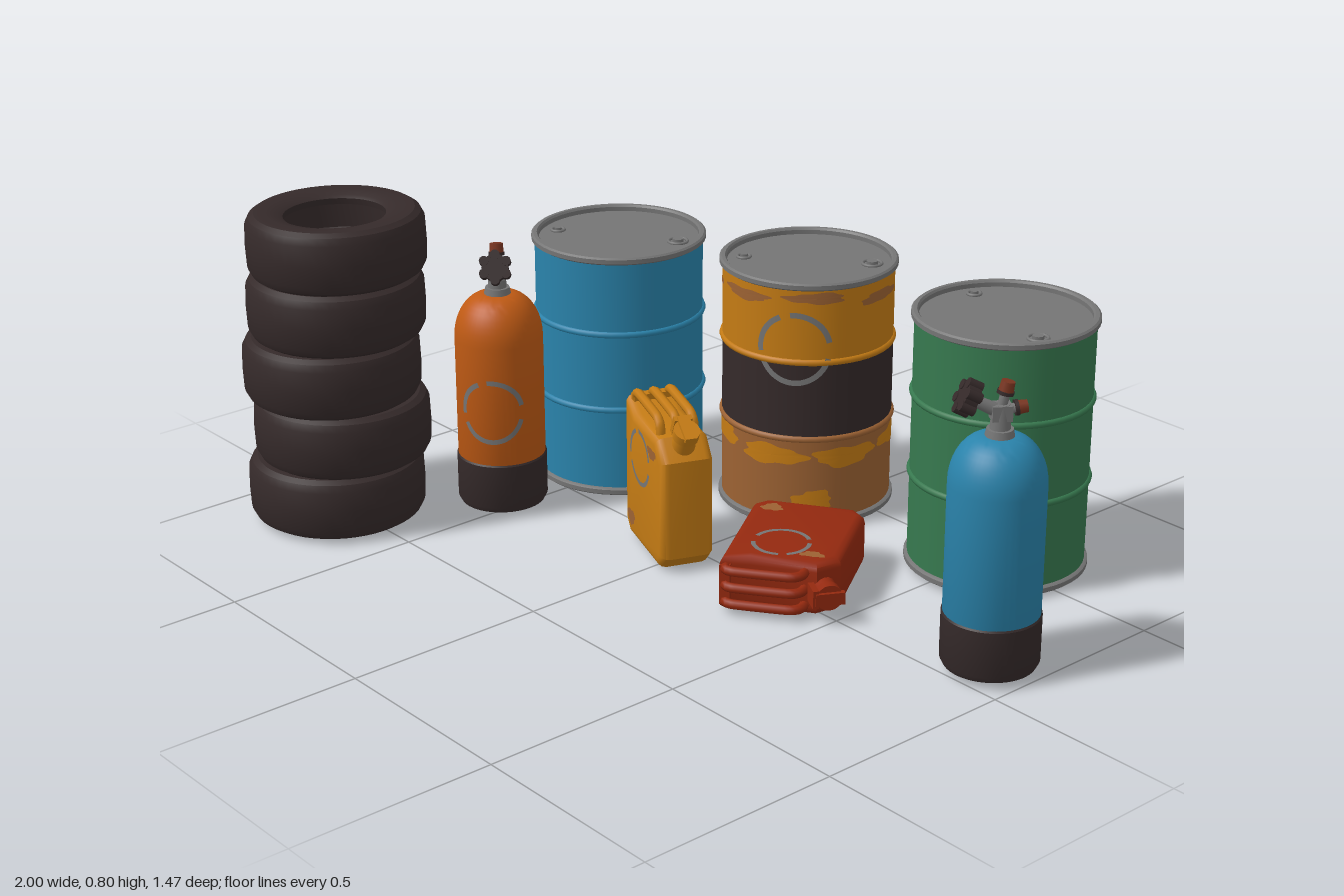
import * as THREE from 'three';
import { toCreasedNormals } from 'three/addons/utils/BufferGeometryUtils.js';

const mat = (name, color) => Object.assign(new THREE.MeshStandardMaterial({ color }), { name });
const M = {
  blue: mat('blue paint', 0x2a83ab), green: mat('green paint', 0x37794f),
  yellow: mat('yellow paint', 0xc47b14), orange: mat('orange paint', 0xbf5a14),
  red: mat('red paint', 0x94290f), dark: mat('black rubber', 0x352a2a),
  grey: mat('bare metal', 0x757575), rust: mat('rust', 0x9c6233), cap: mat('cap brown', 0x7a3520),
};

function add(parent, name, geo, material, x = 0, y = 0, z = 0) {
  const m = new THREE.Mesh(geo, material);
  m.name = name;
  m.position.set(x, y, z);
  parent.add(m);
  return m;
}
function group(parent, name, x = 0, y = 0, z = 0, turn = 0) {
  const g = new THREE.Group();
  g.name = name;
  g.position.set(x, y, z);
  g.rotation.y = turn;
  parent.add(g);
  return g;
}
const lathe = (pts, crease = 0.6) =>
  toCreasedNormals(new THREE.LatheGeometry(pts.map(p => new THREE.Vector2(...p)), 48), crease);
const cyl = (r1, r2, h, n = 16) => new THREE.CylinderGeometry(r1, r2, h, n);

// Horizontal ring, for rims and ribs
function hoop(parent, name, r, tube, material, y) {
  add(parent, name, new THREE.TorusGeometry(r, tube, 8, 48), material, 0, y, 0).rotation.x = Math.PI / 2;
}

// Thin marking: a broken ring or uneven patch, optionally bent round a cylinder
function marking(parent, name, material, { R = 0, az = 0, x = 0, y, z = 0, rx, ry = rx, inner = 0, start = 0, arc = Math.PI * 2, wobble = 0 }) {
  const g = new THREE.RingGeometry(inner, 1, 36, 6, start, arc);
  const p = g.attributes.position;
  for (let i = 0; i < p.count; i++) {
    const a = Math.atan2(p.getY(i), p.getX(i));
    const k = 1 + wobble * (Math.sin(3 * a + x + az * 5) + 0.6 * Math.sin(7 * a + y * 9));
    const u = p.getX(i) * rx * k, v = p.getY(i) * ry * k;
    if (R) p.setXYZ(i, R * Math.sin(az + u / R), y + v, R * Math.cos(az + u / R));
    else p.setXYZ(i, x + u, y + v, z);
  }
  g.computeVertexNormals();
  return add(parent, name, g, material);
}
function brokenRing(parent, options) {
  [[0.2, 1.5], [2.0, 1.3], [3.6, 2.4]].forEach(([start, arc]) =>
    marking(parent, 'wornRing', M.grey, { inner: 0.85, ...options, start, arc }));
}

// Steel drum: three bands, ribs, rims, recessed lid with two bungs
function drum(parent, name, x, z, bands, bungAngle) {
  const g = group(parent, name, x, 0, z);
  const levels = [0.025, 0.252, 0.455, 0.655];
  bands.forEach((material, i) => {
    const h = levels[i + 1] - levels[i];
    add(g, 'drumBand', new THREE.CylinderGeometry(0.214, 0.214, h, 48, 1, true), material, 0, levels[i] + h / 2, 0);
  });
  hoop(g, 'rib', 0.212, 0.009, bands[0], levels[1]);
  hoop(g, 'rib', 0.212, 0.009, bands[2], levels[2]);
  const rim = [[0.2, 0.64], [0.214, 0.64], [0.222, 0.645], [0.222, 0.656], [0.217, 0.66], [0.208, 0.66], [0.204, 0.655], [0.204, 0.638]];
  add(g, 'topRim', lathe(rim), M.grey);
  add(g, 'bottomRim', lathe(rim.map(([r, y]) => [r, 0.68 - y]).reverse()), M.grey);
  add(g, 'lid', cyl(0.206, 0.206, 0.006, 48), M.grey, 0, 0.641, 0);
  add(g, 'bottomPlate', cyl(0.206, 0.206, 0.006, 48), M.grey, 0, 0.037, 0);
  [[0.157, 0.024], [-0.163, 0.016]].forEach(([d, r]) => {
    const bx = d * Math.cos(bungAngle), bz = d * Math.sin(bungAngle);
    hoop(group(g, 'bung', bx, 0, bz), 'bungRing', r, 0.004, M.grey, 0.646);
    add(g, 'bungPlug', cyl(r * 0.6, r * 0.6, 0.01, 8), M.grey, bx, 0.648, bz);
  });
  return g;
}

// Gas cylinder with rubber boot, neck valve, hand wheel and caps
function tank(parent, name, x, z, paint, turn) {
  const g = group(parent, name, x, 0, z, turn);
  const dome = [];
  for (let i = 0; i <= 10; i++) {
    const a = i / 10 * Math.PI / 2;
    dome.push([0.03 + 0.08 * Math.cos(a), 0.465 + 0.112 * Math.sin(a)]);
  }
  add(g, 'tankBody', lathe([[0, 0.035], [0.05, 0.04], [0.09, 0.06], [0.11, 0.1], ...dome, [0, 0.577]]), paint);
  add(g, 'rubberBoot', lathe([[0.06, 0.05], [0.06, 0.022], [0.092, 0.022], [0.106, 0.028], [0.113, 0.042], [0.113, 0.153], [0.11, 0.157], [0.106, 0.157]]), M.dark);
  add(g, 'neckCollar', cyl(0.03, 0.034, 0.02), M.grey, 0, 0.583, 0);
  add(g, 'neck', cyl(0.02, 0.024, 0.07), M.grey, 0, 0.615, 0);
  add(g, 'valveBlock', new THREE.BoxGeometry(0.045, 0.035, 0.04), M.grey, 0, 0.632, 0);

  const arm = group(g, 'wheelArm', 0, 0.63, 0);
  arm.rotation.z = -1.1;
  add(arm, 'stem', cyl(0.013, 0.016, 0.07, 10), M.grey, 0, 0.035, 0);
  add(arm, 'handWheel', cyl(0.033, 0.033, 0.03), M.dark, 0, 0.083, 0);
  for (let i = 0; i < 6; i++) {
    const a = i * Math.PI / 3;
    add(arm, 'wheelLobe', cyl(0.012, 0.012, 0.034, 10), M.dark, 0.031 * Math.cos(a), 0.083, 0.031 * Math.sin(a));
  }
  [[0.2, 0.016], [1.45, 0.015]].forEach(([tilt, r], i) => {
    const outlet = group(g, 'outlet', 0, 0.635, 0);
    outlet.rotation.z = tilt;
    add(outlet, 'outletPipe', cyl(0.011, 0.011, 0.04, 10), M.grey, 0, 0.022, 0);
    add(outlet, 'outletCap', cyl(r, r + 0.002, 0.026, 8), M.cap, 0, i ? 0.045 : 0.055, 0);
    add(outlet, 'capCollar', cyl(r + 0.004, r + 0.004, 0.008, 8), M.dark, 0, i ? 0.034 : 0.042, 0);
  });
  return g;
}

// Fuel can: bevelled body, three grip bars over the top, angled spout
function fuelCan(parent, name, paint) {
  const g = group(parent, name);
  const s = new THREE.Shape([[-0.1, 0.02], [0.1, 0.02], [0.119, 0.04], [0.119, 0.275], [0.085, 0.312], [-0.07, 0.312], [-0.119, 0.335], [-0.119, 0.04]]
    .map(p => new THREE.Vector2(...p)));
  const body = new THREE.ExtrudeGeometry(s, { depth: 0.09, bevelEnabled: true, bevelSize: 0.02, bevelThickness: 0.022, bevelSegments: 3 });
  body.translate(0, 0, -0.045);
  add(g, 'canBody', toCreasedNormals(body, 0.7), paint);
  [-0.042, 0, 0.042].forEach(z => {
    const path = new THREE.CatmullRomCurve3([[-0.122, 0.33], [-0.118, 0.362], [-0.095, 0.372], [0.035, 0.366], [0.06, 0.35], [0.065, 0.315]]
      .map(([x, y]) => new THREE.Vector3(x, y, z)), false, 'catmullrom', 0.3);
    add(g, 'gripBar', new THREE.TubeGeometry(path, 24, 0.012, 8), paint);
  });
  add(g, 'gripEnd', new THREE.BoxGeometry(0.025, 0.04, 0.1), paint, -0.12, 0.343, 0);
  const spout = group(g, 'spout', 0.098, 0.3, 0);
  spout.rotation.z = -0.5;
  add(spout, 'spoutNeck', cyl(0.027, 0.03, 0.05), paint, 0, 0.025, 0);
  add(spout, 'spoutLid', cyl(0.032, 0.032, 0.024), paint, 0, 0.058, 0);
  add(spout, 'lidClamp', new THREE.BoxGeometry(0.07, 0.014, 0.03), paint, 0, 0.072, 0);
  add(spout, 'lidHinge', new THREE.BoxGeometry(0.014, 0.05, 0.045), paint, -0.034, 0.05, 0);
  [0, Math.PI].forEach(turn => {
    const face = group(g, 'faceMarks', 0, 0, 0, turn);
    const k = turn ? -1 : 1;
    brokenRing(face, { x: -0.015 * k, y: 0.24, z: 0.069, rx: 0.072 });
    marking(face, 'wornPatch', M.rust, { x: -0.085 * k, y: 0.055, z: 0.0685, rx: 0.026, ry: 0.02, wobble: 0.15 });
    marking(face, 'wornPatch', M.rust, { x: 0.07 * k, y: 0.285, z: 0.0685, rx: 0.03, ry: 0.014, wobble: 0.15 });
  });
  return g;
}

export function createModel() {
  const root = new THREE.Group();
  root.name = 'drumsTanksAndTyres';

  // Drums
  drum(root, 'blueDrum', -0.524, -0.2, [M.blue, M.blue, M.blue], -0.57);
  drum(root, 'greenDrum', 0.52, -0.513, [M.green, M.green, M.green], 0.34);
  const worn = drum(root, 'yellowDrum', -0.07, -0.436, [M.rust, M.dark, M.yellow], -0.69);
  for (let i = 0; i < 7; i++) {
    const az = i * 0.9;
    marking(worn, 'rustPatch', M.rust, { R: 0.2155, az, y: 0.61 + 0.012 * Math.sin(i * 2), rx: 0.075, ry: 0.014, wobble: 0.14 });
    marking(worn, 'paintPatch', M.yellow, { R: 0.2155, az: az + 0.4, y: 0.205 - 0.02 * Math.sin(i * 3), rx: 0.085, ry: 0.026, wobble: 0.14 });
    if (i % 2) marking(worn, 'paintPatch', M.yellow, { R: 0.2155, az, y: 0.09, rx: 0.05, ry: 0.025, wobble: 0.16 });
  }
  brokenRing(worn, { R: 0.2175, az: 0.66, y: 0.49, rx: 0.095 });

  // Gas cylinders
  const orange = tank(root, 'orangeTank', -0.54, 0.176, M.orange, -0.69);
  brokenRing(orange, { R: 0.1125, az: 0.72 + 0.69, y: 0.3, rx: 0.085 });
  tank(root, 'blueTank', 0.888, -0.1, M.blue, -2.16);

  // Fuel cans: one standing, one lying on its side
  const standing = fuelCan(root, 'standingFuelCan', M.yellow);
  standing.position.set(-0.05, 0.018, 0.04);
  standing.rotation.y = -0.37;
  const lying = fuelCan(root, 'lyingFuelCan', M.red);
  lying.applyMatrix4(new THREE.Matrix4().makeBasis(
    new THREE.Vector3(0.839, 0, -0.544), new THREE.Vector3(0.544, 0, 0.839), new THREE.Vector3(0, -1, 0)));
  lying.position.set(0.197, 0.08, -0.205);

  // Stack of tyres, each slightly out of line
  const tyre = lathe([[0.128, -0.05], [0.125, -0.066], [0.135, -0.072], [0.165, -0.079], [0.195, -0.079], [0.209, -0.07], [0.218, -0.052], [0.22, 0],
    [0.218, 0.052], [0.209, 0.07], [0.195, 0.079], [0.165, 0.079], [0.135, 0.072], [0.125, 0.066], [0.128, 0.05],
    [0.17, 0.05], [0.195, 0.03], [0.195, -0.03], [0.17, -0.05], [0.128, -0.05]], 0.5);
  [[-0.778, 0.516], [-0.768, 0.498], [-0.778, 0.514], [-0.773, 0.496], [-0.765, 0.492]].forEach(([x, z], i) => {
    const t = add(root, 'tyre', tyre, M.dark, x, 0.096 + i * 0.158, z);
    t.rotation.z = i === 4 ? 0.015 : 0;
  });
  return root;
}
